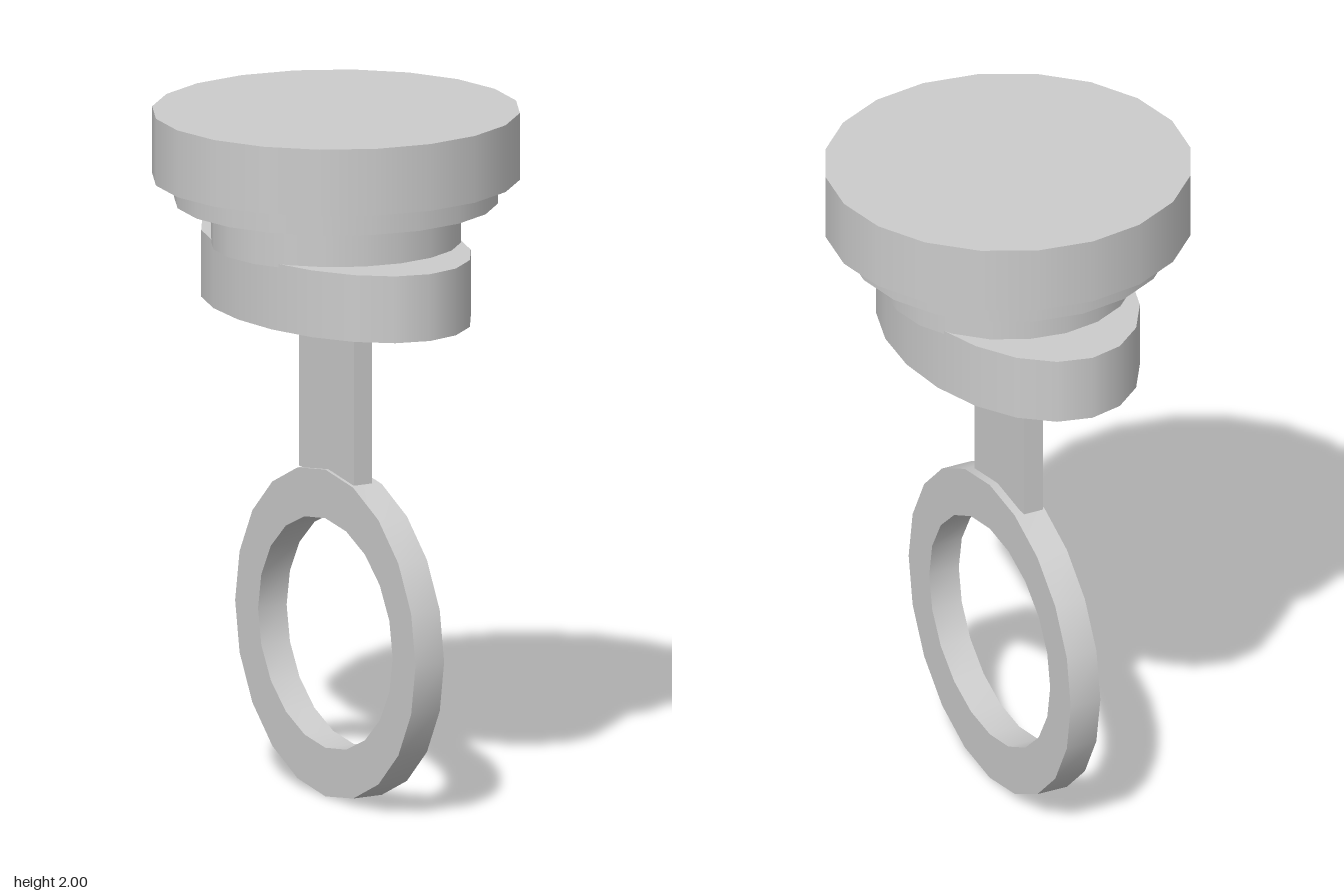
import * as THREE from 'three';
import { toCreasedNormals } from 'three/addons/utils/BufferGeometryUtils.js';

const SIDES = 20;
const material = new THREE.MeshStandardMaterial({ color: 0xcccccc });

export function createModel() {
  const group = new THREE.Group();
  const add = (name, geometry) => {
    const mesh = new THREE.Mesh(geometry, material);
    mesh.name = name;
    group.add(mesh);
  };

  // Upright disc with an elliptical outline, from height y0 to y1
  const disc = (name, rx, rz, y0, y1) => {
    const g = new THREE.CylinderGeometry(1, 1, y1 - y0, SIDES);
    g.scale(rx, 1, rz);
    g.translate(0, (y0 + y1) / 2, 0);
    add(name, g);
  };

  // Stepped round head
  disc('headCap', 0.527, 0.523, 1.805, 2);
  disc('headStep', 0.463, 0.463, 1.735, 1.806);
  disc('neck', 0.358, 0.358, 1.61, 1.736);

  // Oval plate under the neck
  disc('ovalPlate', 0.326, 0.522, 1.425, 1.62);

  // Flat stem, running a little way into plate and ring
  const stem = new THREE.BoxGeometry(0.06, 0.5, 0.306);
  stem.translate(-0.002, 1.185, 0);
  add('stem', stem);

  // Flat ring, its hole running along x
  const outline = new THREE.Shape().absellipse(0, 0, 0.5, 0.477, 0, Math.PI * 2);
  outline.holes.push(new THREE.Path().absellipse(0, 0, 0.373, 0.335, 0, Math.PI * 2, true));
  const ring = new THREE.ExtrudeGeometry(outline, {
    depth: 0.095, bevelEnabled: false, curveSegments: SIDES / 2,
  });
  ring.rotateY(Math.PI / 2);
  ring.translate(-0.042, 0.479, 0.011);
  add('ring', toCreasedNormals(ring, 0.7));

  return group;
}
